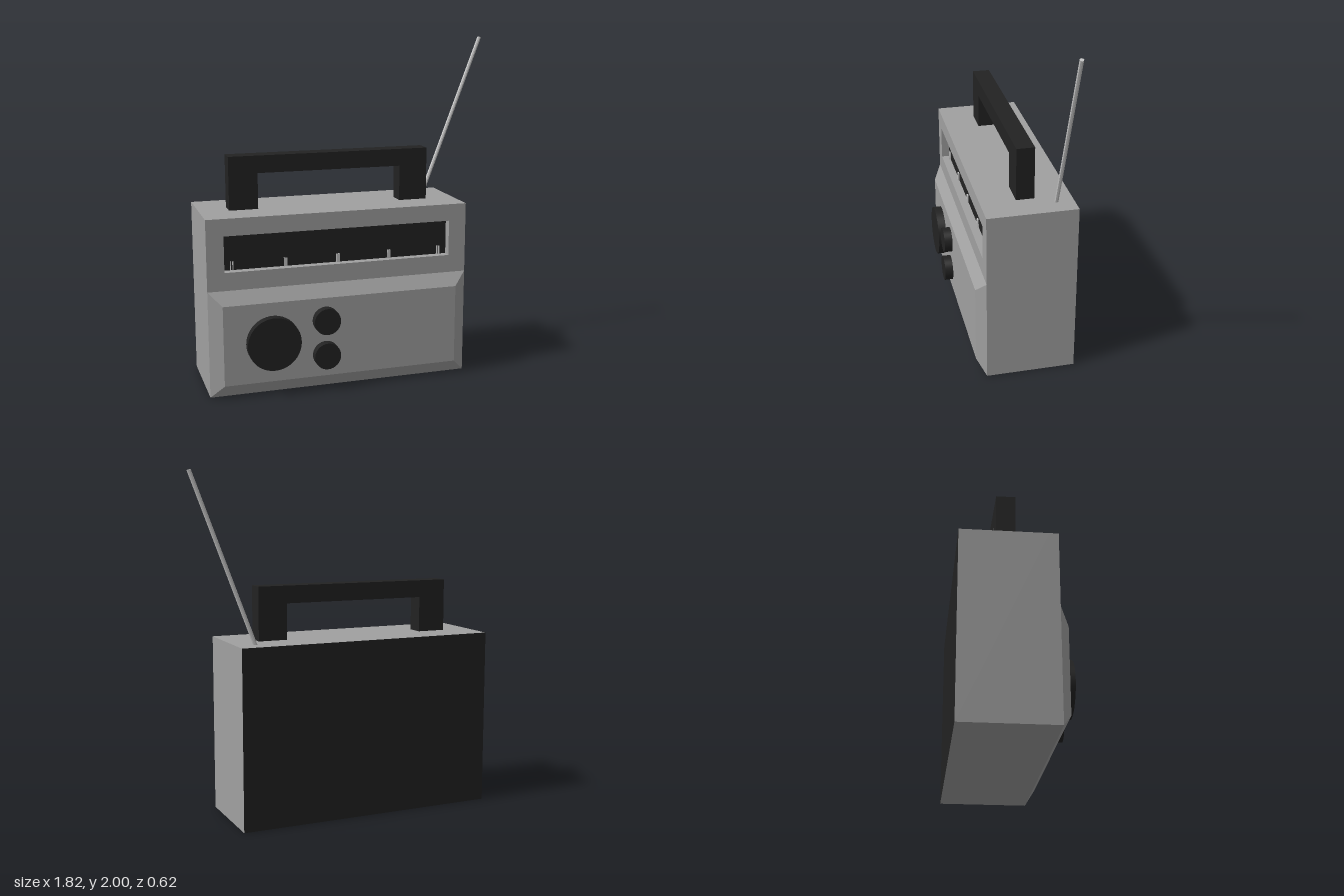
import * as THREE from 'three';

const material = (name, color) => {
  const m = new THREE.MeshStandardMaterial({ color });
  m.name = name;
  return m;
};

export function createModel() {
  const model = new THREE.Group();
  model.name = 'portableRadio';
  const grey = material('casing grey', 0xa0a0a0);
  const black = material('black plastic', 0x222222);
  const metal = material('light metal', 0xc6c6c6);

  const add = (name, geometry, mat) => {
    const mesh = new THREE.Mesh(geometry, mat);
    mesh.name = name;
    model.add(mesh);
    return mesh;
  };
  // Box given by its extents on each axis
  const box = (name, [x0, x1], [y0, y1], [z0, z1], mat) => {
    const mesh = add(name, new THREE.BoxGeometry(x1 - x0, y1 - y0, z1 - z0), mat);
    mesh.position.set((x0 + x1) / 2, (y0 + y1) / 2, (z0 + z1) / 2);
    return mesh;
  };
  const rect = (target, x0, x1, y0, y1) =>
    target.moveTo(x0, y0).lineTo(x1, y0).lineTo(x1, y1).lineTo(x0, y1).closePath();

  const L = -0.91, R = 0.645, H = 1.04;

  // Main case: black back face, and black front face seen through the dial window
  box('case', [L, R], [0, H], [-0.31, 0.16], [grey, grey, grey, grey, black, black]);

  // Front frame with the dial window cut out
  const frame = rect(new THREE.Shape(), L, R, 0, H);
  frame.holes.push(rect(new THREE.Path(), -0.81, 0.54, 0.73, 0.94));
  add('frontFrame', new THREE.ExtrudeGeometry(frame, { depth: 0.05, bevelEnabled: false }), grey)
    .position.z = 0.16;

  // Dial marks along the bottom of the window; the end ones are pairs of fine lines
  for (let i = 0; i < 5; i++) {
    const x = -0.76 + i * 0.3125;
    const lines = i % 4 === 0 ? [[-0.009, -0.004], [0.004, 0.009]] : [[-0.01, 0.01]];
    for (const [a, b] of lines) box('dialMark', [x + a, x + b], [0.73, 0.78], [0.16, 0.168], metal);
  }

  // Lower front panel: a box whose front face is pulled in to make the bevels
  const panel = new THREE.BoxGeometry(R - L, 0.625, 0.05);
  const p = panel.attributes.position;
  for (let i = 0; i < p.count; i++) {
    if (p.getZ(i) > 0) {
      p.setX(i, p.getX(i) - Math.sign(p.getX(i)) * 0.076);
      p.setY(i, p.getY(i) - Math.sign(p.getY(i)) * 0.077);
    }
  }
  panel.computeVertexNormals();
  add('frontPanel', panel, grey).position.set((L + R) / 2, 0.3125, 0.235);

  // Knobs
  for (const [name, x, y, r] of [
    ['tuningKnob', -0.55, 0.315, 0.156],
    ['upperKnob', -0.238, 0.418, 0.078],
    ['lowerKnob', -0.238, 0.21, 0.078],
  ]) {
    const knob = add(name, new THREE.CylinderGeometry(r, r, 0.05, 48), black);
    knob.rotation.x = Math.PI / 2;
    knob.position.set(x, y, 0.285);
  }

  // Carrying handle, with a grey underside to the grip
  const depth = [-0.1, 0.005];
  box('handlePost', [-0.738, -0.568], [H, 1.25], depth, black);
  box('handlePost', [0.298, 0.47], [H, 1.25], depth, black);
  box('handleGrip', [-0.738, 0.47], [1.25, 1.352], depth, [black, black, black, grey, black, black]);

  // Leaning aerial
  const foot = new THREE.Vector3(0.528, 1.03, -0.21);
  const tip = new THREE.Vector3(0.894, 1.996, -0.21);
  const axis = tip.clone().sub(foot);
  const aerial = add('aerial', new THREE.CylinderGeometry(0.012, 0.012, axis.length(), 8).toNonIndexed(), metal);
  aerial.geometry.computeVertexNormals();
  aerial.position.copy(foot).add(tip).multiplyScalar(0.5);
  aerial.quaternion.setFromUnitVectors(new THREE.Vector3(0, 1, 0), axis.normalize());

  return model;
}
